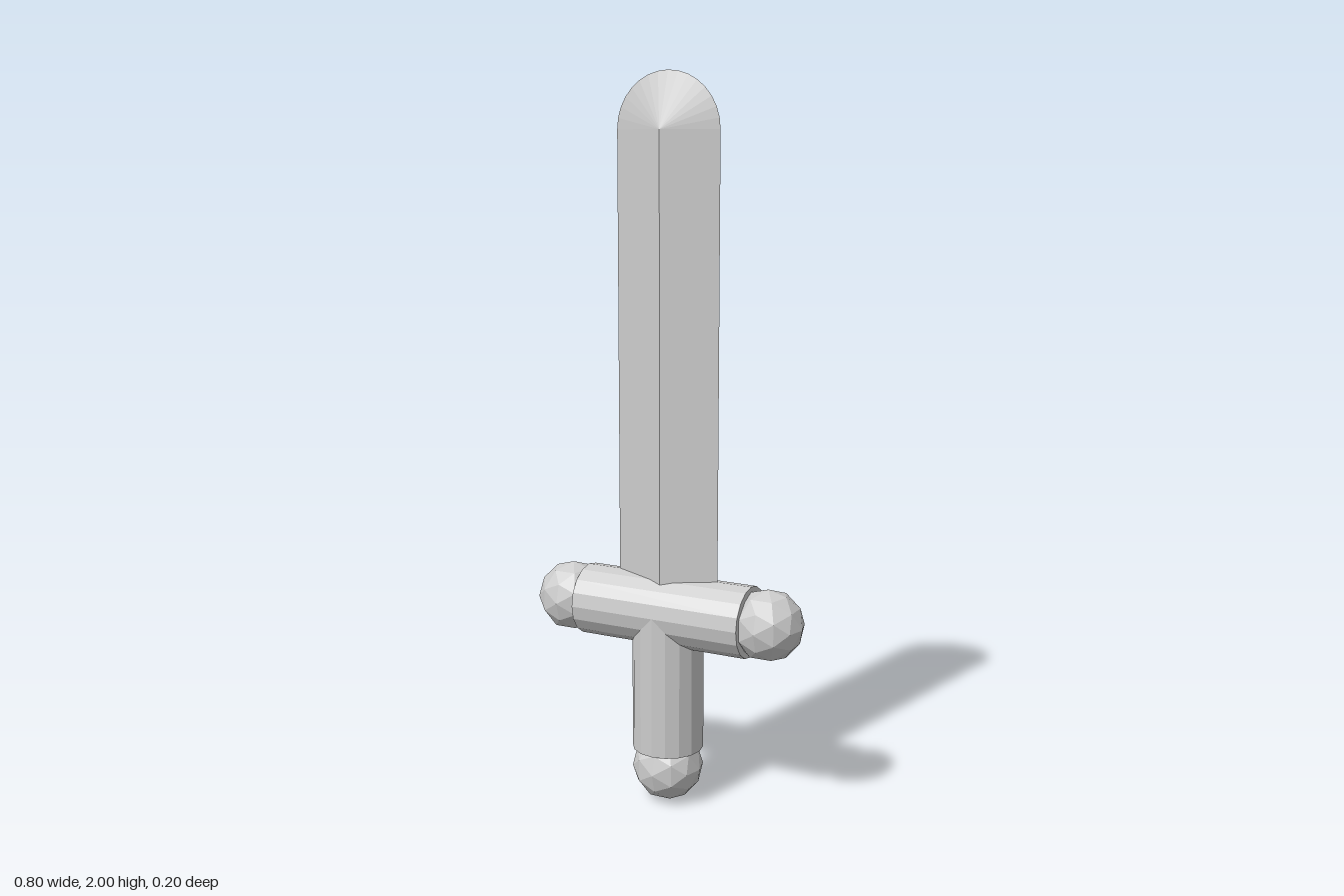
import * as THREE from 'three';

const R = 0.099;        // radius shared by grip, guard and knobs
const GUARD_Y = 0.553;

// Diamond-section blade with a rounded tip fanning out from the ridge end
function bladeGeometry(halfWidth, halfDepth, bottom, shoulder, segments) {
  const pos = [];
  const low = [0, bottom, halfDepth], high = [0, shoulder, halfDepth];
  const flip = ([x, y, z]) => [x, y, -z];
  // adds a front triangle and its mirror on the back
  const tri = (a, b, c) => pos.push(...a, ...b, ...c, ...flip(a), ...flip(c), ...flip(b));
  const edge = (i) => {
    const a = (Math.PI * i) / segments;
    return [halfWidth * Math.cos(a), shoulder + halfWidth * Math.sin(a), 0];
  };
  const right = [halfWidth, bottom, 0], left = [-halfWidth, bottom, 0];
  tri(low, right, edge(0));
  tri(low, edge(0), high);
  tri(left, low, high);
  tri(left, high, edge(segments));
  for (let i = 0; i < segments; i++) tri(high, edge(i), edge(i + 1));
  // closed underside
  tri(left, right, low);
  const g = new THREE.BufferGeometry();
  g.setAttribute('position', new THREE.Float32BufferAttribute(pos, 3));
  g.computeVertexNormals();
  return g;
}

export function createModel() {
  const group = new THREE.Group();
  const grey = new THREE.MeshStandardMaterial({ color: 0xcccccc, flatShading: true });
  grey.name = 'grey';

  const add = (name, geometry, x, y) => {
    const mesh = new THREE.Mesh(geometry, grey);
    mesh.name = name;
    mesh.position.set(x, y, 0);
    group.add(mesh);
    return mesh;
  };

  add('blade', bladeGeometry(0.15, 0.05, GUARD_Y, 1.85, 16), 0, 0);

  // Grip and crossguard
  const gripBottom = 0.155;
  add('grip', new THREE.CylinderGeometry(R, R, GUARD_Y - gripBottom, 16), 0, (GUARD_Y + gripBottom) / 2);
  add('guard', new THREE.CylinderGeometry(R, R, 0.5, 16), 0, GUARD_Y).rotation.z = Math.PI / 2;

  // Faceted knobs on the guard ends and the pommel
  const knob = new THREE.IcosahedronGeometry(R, 1);
  add('guardKnobLeft', knob, 0.3, GUARD_Y);
  add('guardKnobRight', knob, -0.3, GUARD_Y);
  add('pommel', knob, 0, R);

  return group;
}
